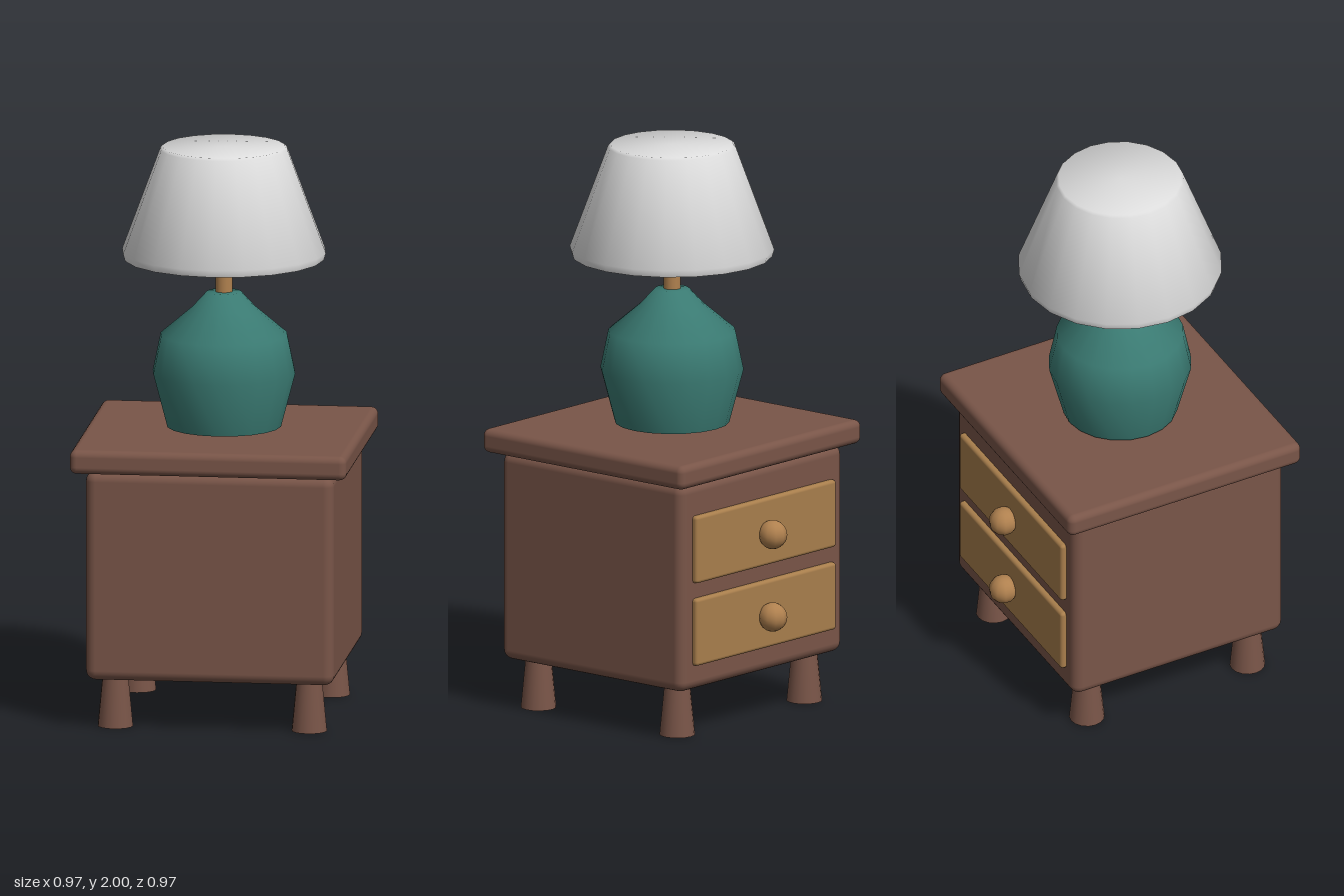
import * as THREE from 'three';
import { RoundedBoxGeometry } from 'three/addons/geometries/RoundedBoxGeometry.js';
import { toCreasedNormals } from 'three/addons/utils/BufferGeometryUtils.js';

const material = (name, color) => {
  const m = new THREE.MeshStandardMaterial({ color });
  m.name = name;
  return m;
};

export function createModel() {
  const model = new THREE.Group();
  model.name = 'bedsideTableWithLamp';
  const brown = material('brown wood', 0x795548);
  const oak = material('drawer wood', 0xa87e4c);
  const tan = material('tan wood', 0xb0814f);
  const teal = material('teal ceramic', 0x3a7a72);
  const white = material('shade fabric', 0xdcdcdc);
  const CZ = 0.025; // depth centre of the cabinet and lamp

  const add = (name, geometry, mat, x, y, z) => {
    const mesh = new THREE.Mesh(geometry, mat);
    mesh.name = name;
    mesh.position.set(x, y, z);
    model.add(mesh);
    return mesh;
  };
  const lathe = (profile) => toCreasedNormals(
    new THREE.LatheGeometry(profile.map(([r, y]) => new THREE.Vector2(r, y)), 20), 0.9);

  // Cabinet and top slab
  add('cabinet', new RoundedBoxGeometry(0.87, 0.74, 0.83, 3, 0.035), brown, 0, 0.545, CZ);
  add('tableTop', new RoundedBoxGeometry(0.97, 0.085, 0.92, 3, 0.025), brown, 0, 0.957, CZ);

  // Tapered legs
  for (const x of [-0.34, 0.34]) {
    for (const z of [-0.29, 0.345]) {
      add('leg', new THREE.CylinderGeometry(0.043, 0.062, 0.2, 16), brown, x, 0.1, z);
    }
  }

  // Drawers with round knobs, on the -z side
  for (const y of [0.385, 0.68]) {
    add('drawer', new RoundedBoxGeometry(0.75, 0.24, 0.04, 2, 0.012), oak, 0, y, -0.39);
    const knob = add('knob', new THREE.SphereGeometry(0.051, 10, 12), tan, 0, y - 0.005, -0.436);
    knob.rotation.y = Math.PI / 2;
  }

  // Lamp
  add('lampBase', lathe([
    [0, 0.995], [0.07, 0.998], [0.2, 1.01], [0.25, 1.2], [0.222, 1.335],
    [0.11, 1.43], [0.06, 1.485], [0, 1.487],
  ]), teal, 0, 0, CZ);
  add('lampStem', new THREE.CylinderGeometry(0.03, 0.03, 0.16, 16), tan, 0, 1.54, CZ);
  add('lampShade', lathe([
    [0, 1.605], [0.35, 1.605], [0.357, 1.63], [0.223, 1.992], [0.215, 2], [0, 2],
  ]), white, 0, 0, CZ);

  return model;
}
